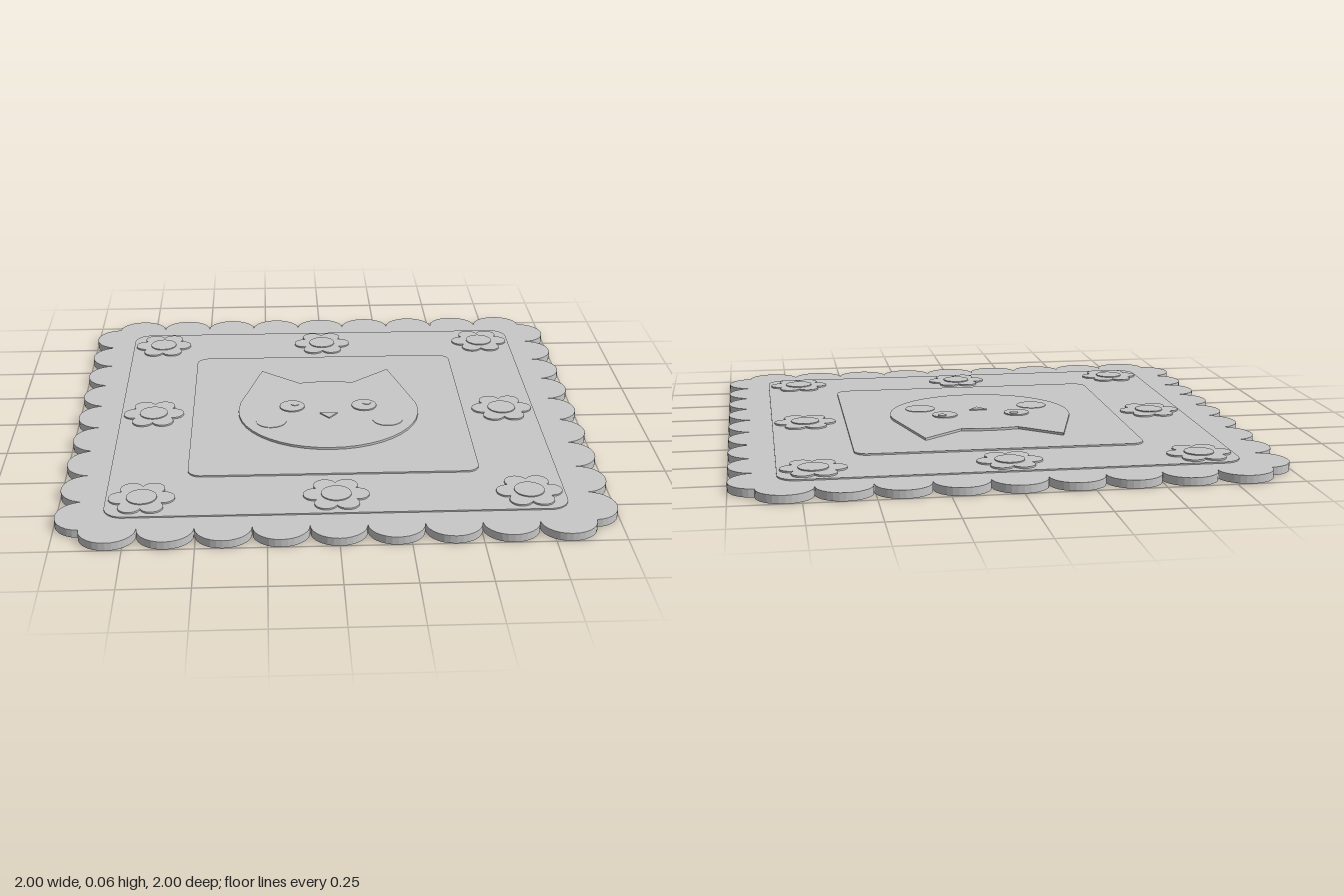
import * as THREE from 'three';

const grey = new THREE.MeshStandardMaterial({ color: 0xc8c8c8 });
grey.name = 'plainGrey';

// Flat plate cut from a shape (shape y points to the back), from height y0 to y1
function plate(name, shape, y0, y1, x = 0, z = 0) {
  const geo = new THREE.ExtrudeGeometry(shape, { depth: y1 - y0, bevelEnabled: false, curveSegments: 12 });
  geo.rotateX(-Math.PI / 2);
  const mesh = new THREE.Mesh(geo, grey);
  mesh.name = name;
  mesh.position.set(x, y0, z);
  return mesh;
}

function disc(name, r, y0, y1, x, z) {
  const mesh = new THREE.Mesh(new THREE.CylinderGeometry(r, r, y1 - y0, 28), grey);
  mesh.name = name;
  mesh.position.set(x, (y0 + y1) / 2, z);
  return mesh;
}

function roundedSquare(h, r) {
  const s = new THREE.Shape();
  const k = h - r;
  s.absarc(k, k, r, 0, Math.PI / 2);
  s.absarc(-k, k, r, Math.PI / 2, Math.PI);
  s.absarc(-k, -k, r, Math.PI, Math.PI * 1.5);
  s.absarc(k, -k, r, Math.PI * 1.5, Math.PI * 2);
  return s;
}

// Square edged with nine half-round scallops per side
function scallopedSquare(half, depth, count) {
  const pts = [];
  const r = half / count;
  const steps = 14;
  for (let side = 0; side < 4; side++) {
    for (let i = 0; i < count; i++) {
      for (let j = 0; j < steps; j++) {
        const a = (j / steps) * Math.PI;
        const p = new THREE.Vector2(half - r * (2 * i + 1) + r * Math.cos(a), half + depth * Math.sin(a));
        pts.push(p.rotateAround(new THREE.Vector2(), side * Math.PI / 2));
      }
    }
  }
  return new THREE.Shape(pts);
}

// Six round petals joined into one outline
function flowerShape(petals, ring, r) {
  const s = new THREE.Shape();
  const step = (Math.PI * 2) / petals;
  const half = Math.PI / 2 + 0.3;
  for (let i = 0; i < petals; i++) {
    const a = i * step;
    s.absarc(ring * Math.cos(a), ring * Math.sin(a), r, a - half, a + half);
  }
  return s;
}

// Round head with two pointed ears
function catShape() {
  const s = new THREE.Shape();
  s.moveTo(-0.265, 0.38);
  s.lineTo(-0.355, 0.06);
  s.absellipse(0, -0.01, 0.36, 0.34, Math.PI - 0.15, Math.PI * 2 + 0.15, false);
  s.lineTo(0.265, 0.38);
  s.lineTo(0.11, 0.25);
  s.quadraticCurveTo(0, 0.275, -0.11, 0.25);
  s.closePath();
  return s;
}

export function createModel() {
  const model = new THREE.Group();
  model.name = 'coaster';

  // Stacked plates
  model.add(plate('scallopedBase', scallopedSquare(0.907, 0.093, 9), 0, 0.03));
  model.add(plate('borderPanel', roundedSquare(0.83, 0.07), 0.03, 0.035));
  model.add(plate('centrePanel', roundedSquare(0.543, 0.05), 0.035, 0.041));

  // Eight flowers around the border
  const petals = flowerShape(6, 0.078, 0.042);
  for (const ix of [-1, 0, 1]) {
    for (const iz of [-1, 0, 1]) {
      if (ix === 0 && iz === 0) continue;
      const flower = new THREE.Group();
      flower.name = 'flower';
      flower.add(plate('petals', petals, 0.035, 0.041));
      flower.add(disc('flowerCentre', 0.055, 0.041, 0.045, 0, 0));
      flower.position.set(ix * 0.7, 0, iz * 0.7);
      model.add(flower);
    }
  }

  // Cat face
  const cat = new THREE.Group();
  cat.name = 'catFace';
  cat.add(plate('head', catShape(), 0.041, 0.05));
  for (const side of [-1, 1]) {
    cat.add(disc('eye', 0.05, 0.05, 0.055, side * 0.145, -0.02));
    cat.add(disc('eyeGlint', 0.017, 0.055, 0.057, side * 0.145 + 0.012, -0.035));
    cat.add(disc('cheek', 0.06, 0.05, 0.052, side * 0.23, 0.11));
  }
  const nose = new THREE.Shape([
    new THREE.Vector2(-0.035, 0.02), new THREE.Vector2(0, -0.025), new THREE.Vector2(0.035, 0.02),
  ]);
  cat.add(plate('nose', nose, 0.05, 0.055, 0, 0.07));
  model.add(cat);

  return model;
}
